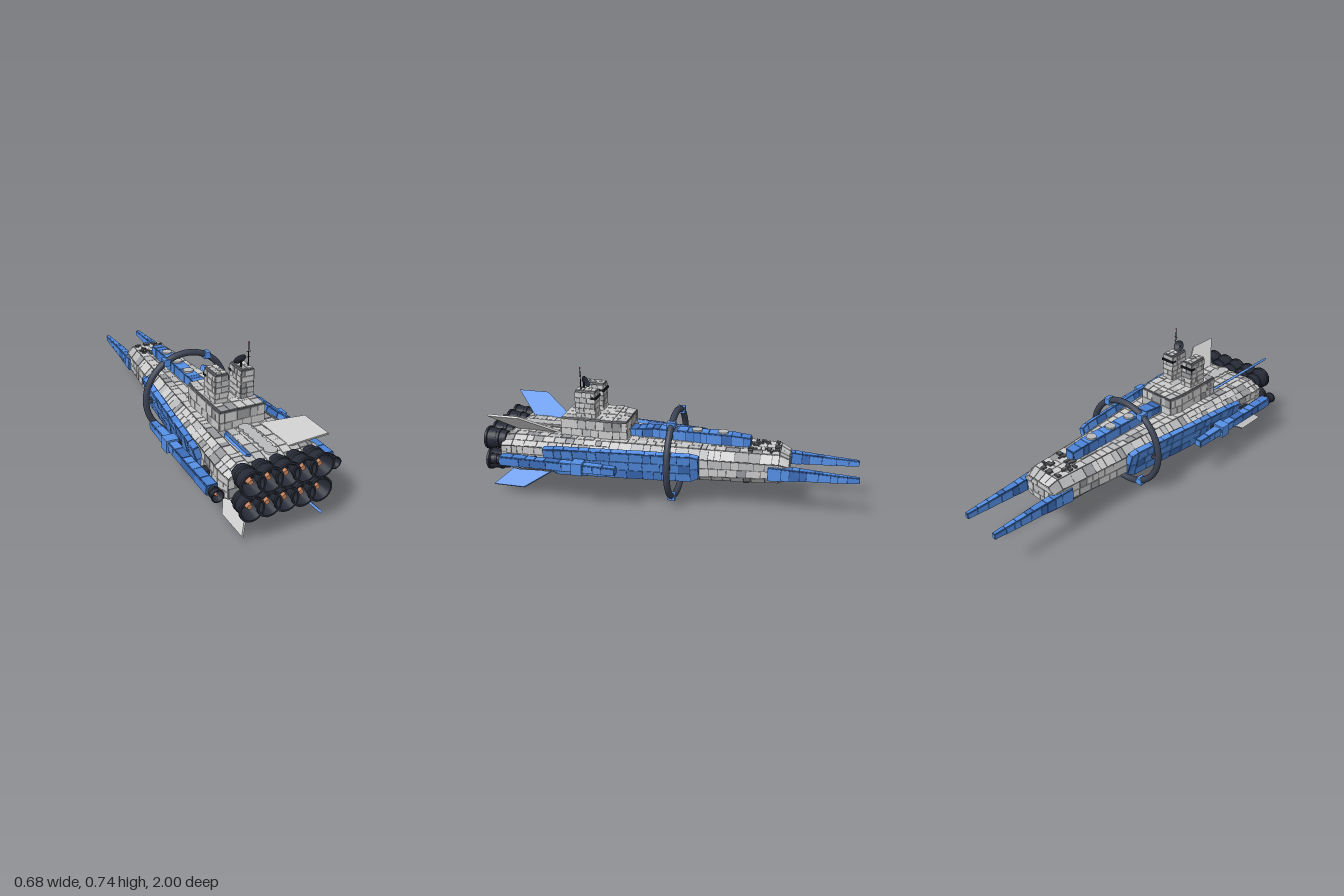
import * as THREE from 'three';
import { mergeGeometries, toCreasedNormals } from 'three/addons/utils/BufferGeometryUtils.js';

const mat = (color, extra = {}) => new THREE.MeshStandardMaterial({ color, ...extra });
const flat = (color) => mat(color, { flatShading: true });
const M = {
  grey: [flat(0xcccccc), flat(0xb9babc), flat(0x98999c)],
  blue: [flat(0x5590e6), flat(0x4a82d6), flat(0x3c6cb8)],
  seamGrey: flat(0x55575c), seamBlue: flat(0x22406f),
  dark: mat(0x262a36), black: mat(0x14161c), ring: mat(0x3b4252), glow: mat(0xc8825a), red: mat(0xc0304a),
};

let seed = 7;
const rnd = () => (seed = (seed * 16807) % 2147483647) / 2147483647;
const V = (x, y, z) => new THREE.Vector3(x, y, z);

function mesh(parent, name, geo, material, x = 0, y = 0, z = 0) {
  const m = new THREE.Mesh(geo, material);
  m.name = name;
  m.position.set(x, y, z);
  parent.add(m);
  return m;
}
const box = (parent, name, material, x, y, z, w, h, d) =>
  mesh(parent, name, new THREE.BoxGeometry(w, h, d), material, x, y, z);

const pushQuad = (out, a, b, c, d) => { for (const p of [a, b, c, a, c, d]) out.push(p.x, p.y, p.z); };
function soup(points) {
  const g = new THREE.BufferGeometry();
  g.setAttribute('position', new THREE.Float32BufferAttribute(points, 3));
  g.computeVertexNormals();
  return g;
}

// Cover one quad with slightly raised, randomly toned armour plates
function plateQuad(bins, q, size) {
  const [a, b, c, d] = q;
  const lu = (a.distanceTo(b) + c.distanceTo(d)) / 2, lv = (a.distanceTo(d) + b.distanceTo(c)) / 2;
  if (lu < 0.012 || lv < 0.012) return;
  const nu = Math.max(1, Math.round(lu / size)), nv = Math.max(1, Math.round(lv / size));
  const n = c.clone().sub(a).cross(d.clone().sub(b)).normalize();
  const at = (u, v) => a.clone().lerp(b, u).lerp(d.clone().lerp(c, u), v);
  const gu = 0.0016 / lu, gv = 0.0016 / lv;
  for (let i = 0; i < nu; i++) {
    let v0 = 0;
    while (v0 < 1) {
      let v1 = v0 + (0.7 + rnd()) / nv;
      if (v1 > 1 - 0.5 / nv) v1 = 1;
      const u0 = i / nu + gu, u1 = (i + 1) / nu - gu;
      const base = [at(u0, v0 + gv), at(u1, v0 + gv), at(u1, v1 - gv), at(u0, v1 - gv)];
      const h = 0.0015 + 0.003 * rnd();
      const top = base.map((p) => p.clone().addScaledVector(n, h));
      const r = rnd(), out = bins[r < 0.62 ? 0 : r < 0.88 ? 1 : 2];
      pushQuad(out, ...top);
      for (let k = 0; k < 4; k++) pushQuad(out, base[k], base[(k + 1) % 4], top[(k + 1) % 4], top[k]);
      v0 = v1;
    }
  }
}

// Loft plated skin through cross-sections (counter-clockwise, z increasing)
function platedLoft(parent, name, sections, tone, size) {
  const g = new THREE.Group();
  g.name = name;
  const quads = [], n = sections[0].length;
  for (let s = 0; s < sections.length - 1; s++)
    for (let j = 0; j < n; j++) {
      const k = (j + 1) % n;
      quads.push([sections[s][j], sections[s][k], sections[s + 1][k], sections[s + 1][j]]);
    }
  const caps = n === 8 ? [[0, 1, 4, 5], [1, 2, 3, 4], [5, 6, 7, 0]] : [[0, 1, 2, 3]];
  for (const c of caps) {
    quads.push(c.map((i) => sections.at(-1)[i]));
    quads.push(c.map((i) => sections[0][i]).reverse());
  }
  const core = [], bins = [[], [], []];
  for (const q of quads) { pushQuad(core, ...q); plateQuad(bins, q, size); }
  mesh(g, name + 'Core', soup(core), tone === 'grey' ? M.seamGrey : M.seamBlue);
  bins.forEach((b, i) => b.length && mesh(g, name + 'Plates', soup(b), M[tone][i]));
  parent.add(g);
  return g;
}
const rect = (z, x, w, y0, y1) =>
  [V(x + w / 2, y0, z), V(x + w / 2, y1, z), V(x - w / 2, y1, z), V(x - w / 2, y0, z)];
const octagon = (z, hw, y0, y1, cx, cy, x = 0) =>
  [[hw, y0 + cy], [hw, y1 - cy], [hw - cx, y1], [cx - hw, y1], [-hw, y1 - cy], [-hw, y0 + cy], [cx - hw, y0], [hw - cx, y0]]
    .map(([px, py]) => V(px + x, py, z));

// Rocket bell opening toward +z, with a glowing core
function engine(parent, x, y, z, s) {
  const g = new THREE.Group();
  g.name = 'engine';
  const profile = [[0, 0], [0.045, 0], [0.05, 0.035], [0.055, 0.037], [0.055, 0.052], [0.051, 0.055], [0.058, 0.1],
    [0.063, 0.103], [0.063, 0.115], [0.054, 0.115], [0.035, 0.045], [0, 0.045]].map((p) => new THREE.Vector2(...p));
  mesh(g, 'bell', toCreasedNormals(new THREE.LatheGeometry(profile, 28), 0.6).rotateX(Math.PI / 2), M.dark);
  mesh(g, 'rim', new THREE.TorusGeometry(0.058, 0.0045, 6, 28), M.black, 0, 0, 0.111);
  mesh(g, 'glowCore', new THREE.CylinderGeometry(0.012, 0.018, 0.05, 16).rotateX(Math.PI / 2), M.glow, 0, 0, 0.068);
  g.position.set(x, y, z);
  g.scale.setScalar(s);
  parent.add(g);
}

// Parts of the port and starboard sides, built on +x
function buildSide() {
  const g = new THREE.Group();
  const armour = (z, x, t, b) => [V(x - 0.035, b, z), V(x, t - 0.01, z), V(x - 0.028, t, z), V(x - 0.08, b, z)];
  platedLoft(g, 'sideArmour', [armour(-0.18, 0.2, 0.335, 0.2), armour(-0.14, 0.207, 0.345, 0.18),
    armour(0.58, 0.281, 0.345, 0.18), armour(0.64, 0.285, 0.34, 0.22)], 'blue', 0.06);
  platedLoft(g, 'prong', [rect(-1, 0.105, 0.018, 0.24, 0.267), rect(-0.7, 0.108, 0.04, 0.225, 0.28),
    rect(-0.54, 0.117, 0.042, 0.215, 0.287)], 'blue', 0.05);
  // outboard nacelle with collar, struts and thruster
  platedLoft(g, 'nacelle', [rect(0.23, 0.305, 0.036, 0.245, 0.28), rect(0.4, 0.305, 0.044, 0.242, 0.283),
    rect(0.87, 0.305, 0.05, 0.24, 0.286)], 'blue', 0.06);
  box(g, 'nacelleCollar', M.blue[0], 0.305, 0.262, 0.435, 0.066, 0.066, 0.06);
  for (const z of [0.435, 0.72]) box(g, 'nacelleStrut', M.dark, 0.255, 0.262, z, 0.07, 0.02, 0.05);
  engine(g, 0.305, 0.262, 0.87, 0.5);
  // ring clamps
  for (const y of [0.471, 0.053]) box(g, 'ringClamp', M.blue[0], 0.12, y, -0.025, 0.036, 0.036, 0.044);
  return g;
}

export function createModel() {
  seed = 7;
  const model = new THREE.Group();
  model.name = 'spaceship';

  // main hull
  platedLoft(model, 'hull', [
    octagon(-0.64, 0.108, 0.205, 0.315, 0.035, 0.03), octagon(-0.59, 0.12, 0.182, 0.34, 0.035, 0.04),
    octagon(-0.18, 0.158, 0.17, 0.345, 0.045, 0.04), octagon(0.3, 0.208, 0.16, 0.355, 0.055, 0.04),
    octagon(0.83, 0.256, 0.154, 0.365, 0.065, 0.04), octagon(0.9, 0.24, 0.175, 0.35, 0.06, 0.04),
  ], 'grey', 0.045);

  const left = buildSide(), right = left.clone();
  left.name = 'leftSide';
  right.name = 'rightSide';
  right.scale.x = -1;
  model.add(left, right);

  // main engine bank
  for (const y of [0.2, 0.325]) for (let i = -2; i <= 2; i++) engine(model, i * 0.088, y, 0.885, 1);

  // large ring around the hull
  mesh(model, 'ring', new THREE.TorusGeometry(0.24, 0.0175, 14, 72), M.ring, 0, 0.262, -0.025);
  for (const s of [-1, 1]) box(model, 'ringSpoke', M.ring, s * 0.2, 0.262, -0.025, 0.07, 0.024, 0.024);

  // dorsal spine with round pads
  platedLoft(model, 'dorsalSpine', [rect(-0.43, 0, 0.054, 0.34, 0.392), rect(-0.33, 0, 0.066, 0.34, 0.402),
    rect(0.1, 0, 0.066, 0.34, 0.402), rect(0.23, 0, 0.075, 0.34, 0.392)], 'blue', 0.05);
  const disc = (name, x, y, z, r, h, m) => mesh(model, name, new THREE.CylinderGeometry(r, r, h, 20), m, x, y, z);
  for (const z of [-0.28, -0.14, 0]) disc('spinePad', 0, 0.405, z, 0.028, 0.016, M.grey[1]);
  for (let i = 0; i < 6; i++) disc('aftPad', 0, 0.366, 0.62 + i * 0.045, 0.032, 0.014, M.grey[1]);
  for (const z of [-0.42, -0.2, 0.05, 0.3, 0.55])
    for (const s of [-1, 1]) disc('bellyPort', s * (0.055 + 0.04 * (z + 0.4)), 0.163 - z * 0.01, z, 0.024, 0.018, M.seamGrey);

  // small machinery on the nose deck
  const bits = [];
  for (let i = 0; i < 22; i++)
    bits.push(new THREE.BoxGeometry(0.008 + 0.018 * rnd(), 0.016, 0.008 + 0.025 * rnd())
      .translate((rnd() - 0.5) * 0.15, 0.345, -0.58 + 0.15 * rnd()));
  mesh(model, 'noseMachinery', mergeGeometries(bits), M.seamGrey);

  // superstructure and twin towers
  platedLoft(model, 'superstructure', [octagon(0.225, 0.105, 0.345, 0.455, 0.006, 0.006),
    octagon(0.3, 0.122, 0.345, 0.46, 0.006, 0.006), octagon(0.59, 0.122, 0.345, 0.46, 0.006, 0.006)], 'grey', 0.045);
  for (const s of [-1, 1]) {
    platedLoft(model, 'tower', [octagon(0.398, 0.035, 0.45, 0.612, 0.007, 0.007, s * 0.069),
      octagon(0.508, 0.035, 0.45, 0.612, 0.007, 0.007, s * 0.069)], 'grey', 0.03);
    box(model, 'bridgeWindow', M.black, s * 0.069, 0.575, 0.405, 0.079, 0.013, 0.03);
  }

  // antenna mast and dish
  mesh(model, 'mast', new THREE.CylinderGeometry(0.002, 0.003, 0.125, 8), M.black, 0.087, 0.673, 0.48);
  for (const y of [0.66, 0.688]) box(model, 'mastCrossbar', M.black, 0.087, y, 0.48, 0.022, 0.002, 0.002);
  mesh(model, 'beacon', new THREE.SphereGeometry(0.004, 10, 8), M.red, 0.087, 0.736, 0.48);
  mesh(model, 'dishStand', new THREE.CylinderGeometry(0.004, 0.006, 0.035, 8), M.black, 0.05, 0.628, 0.475);
  const bowl = [[0, 0], [0.014, 0.002], [0.025, 0.007], [0.033, 0.014]].map((p) => new THREE.Vector2(...p));
  const dish = mesh(model, 'dish', new THREE.LatheGeometry(bowl, 24), mat(0x2c303c, { side: THREE.DoubleSide }), 0.05, 0.642, 0.475);
  dish.rotation.x = -1.05;

  // four swept diagonal fins, alternating colours
  const outline = [[0.6, -0.03], [0.8, 0.128], [0.98, 0.128], [0.84, -0.03]].map((p) => new THREE.Vector2(...p));
  const finGeo = new THREE.ExtrudeGeometry(new THREE.Shape(outline), { depth: 0.012, bevelEnabled: false })
    .translate(0, 0, -0.006).rotateY(-Math.PI / 2);
  for (const sx of [-1, 1]) for (const sy of [-1, 1]) {
    const fin = mesh(model, 'fin', finGeo, sx * sy > 0 ? M.grey[0] : M.blue[0], sx * 0.118, 0.262 + sy * 0.118, 0);
    fin.rotation.z = Math.atan2(-sx, sy);
  }
  return model;
}
